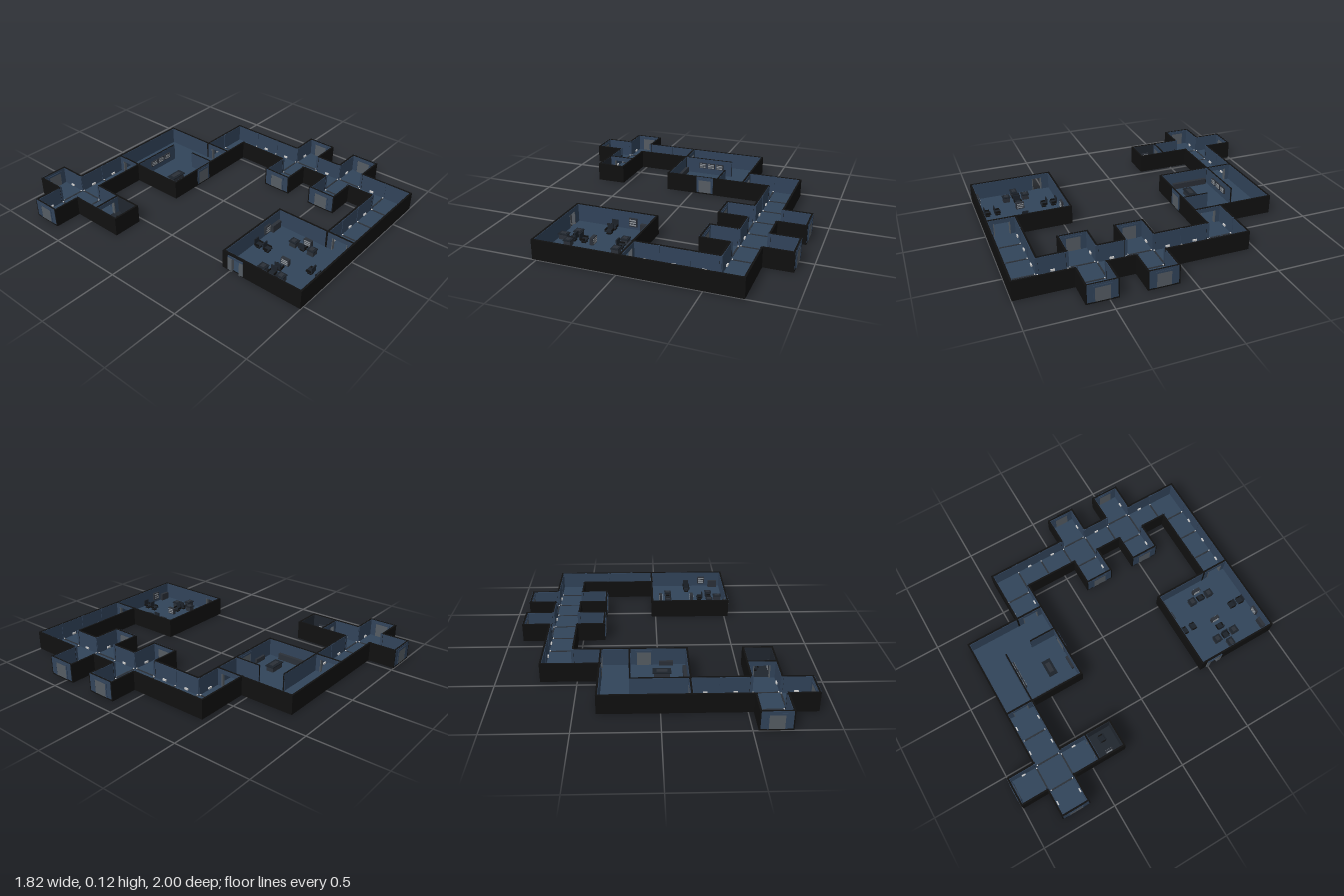
import * as THREE from 'three';

const mat = (color) => new THREE.MeshStandardMaterial({ color, roughness: 0.9 });
const M = {
  black: mat(0x101010), blue: mat(0x31435a), floor: mat(0x31455a), dark: mat(0x20262e),
  trim: mat(0x2b3038), door: mat(0x555c63), light: mat(0xc4c4c4), seat: mat(0x1c222a), screen: mat(0x8a9096),
};
const H = 0.125, T = 0.18, BASE = 0.01;

// Floor plan: c corridor, r briefing room, s control room, e lift
const PLAN = [
  '.c........',
  'ccccrrr...',
  '.c..rrr...',
  '.e..rrrcc.',
  '........c.',
  '........c.',
  '.......ccc',
  '........c.',
  '..sss..ccc',
  '..sss...c.',
  '..ssscccc.',
];
const SIDES = { N: [0, -1, Math.PI], S: [0, 1, 0], E: [1, 0, Math.PI / 2], W: [-1, 0, -Math.PI / 2] };
// Outer doors, keyed by column, row and side
const DOORS = ['1,0,N', '0,1,W', '7,6,W', '9,6,E', '7,8,W', '9,8,E'];
const ROOM_DOOR = '5,3,S', OPEN_DOOR = '2,8,W';

const cell = (i, j) => PLAN[j]?.[i] ?? '.';
const lineX = (i, j) => -0.9 + T * i + (j >= 8 && i <= 5 ? 0.02 : 0);
const lineZ = (j) => -0.99 + T * j;

// Box given by its size, its centre in x and z, and its underside y
function box(parent, name, m, w, h, d, x, y, z) {
  const b = new THREE.Mesh(new THREE.BoxGeometry(w, h, d), m);
  b.name = name;
  b.position.set(x, y + h / 2, z);
  parent.add(b);
  return b;
}

function group(parent, name, x = 0, z = 0, turn = 0) {
  const g = new THREE.Group();
  g.name = name;
  g.position.set(x, 0, z);
  g.rotation.y = turn;
  parent.add(g);
  return g;
}

// Wall with a black core and coloured lining; local +z points outward
function solidWall(g, L, lining) {
  box(g, 'wallCore', M.black, L + 0.016, H, 0.012, 0, 0, 0.002);
  box(g, 'wallLining', lining, L, H - BASE - 0.002, 0.003, 0, BASE, -0.0055);
}

// Wall with a doorway cut through it
function doorwayWall(g, L, open, lining, bothSides) {
  const jamb = (L - open) / 2, top = 0.095;
  const pieces = [
    [jamb, H, 0, -(open + jamb) / 2], [jamb, H, 0, (open + jamb) / 2], [open, H - top, top, 0],
  ];
  for (const [w, h, y, x] of pieces) {
    box(g, 'wallCore', M.black, w, h, 0.012, x, y, 0.002);
    const y0 = Math.max(y, BASE);
    for (const z of bothSides ? [-0.0055, 0.0095] : [-0.0055])
      box(g, 'wallLining', lining, w, H - y0 - 0.002, 0.003, x, y0, z);
  }
  for (const s of [-1, 1]) box(g, 'doorJamb', M.door, 0.006, top, 0.022, s * open / 2, 0, 0.002);
}

// Closed door and its frame, showing on both faces
function closedDoor(g) {
  for (const s of [-1, 1]) {
    const z = s > 0 ? 0.009 : -0.008;
    box(g, 'doorPost', M.blue, 0.01, 0.1, 0.006, -0.05, BASE, z);
    box(g, 'doorPost', M.blue, 0.01, 0.1, 0.006, 0.05, BASE, z);
    box(g, 'doorHead', M.blue, 0.11, 0.012, 0.006, 0, 0.1, z);
    box(g, 'doorLeaf', M.door, 0.09, 0.09, 0.004, 0, BASE, z);
  }
}

function buildSide(root, i, j, side) {
  const [dx, dz, turn] = SIDES[side], here = cell(i, j), next = cell(i + dx, j + dz);
  const x0 = lineX(i, j), x1 = lineX(i + 1, j), key = `${i},${j},${side}`;
  const L = dx ? T : x1 - x0;
  const x = dx ? (dx > 0 ? x1 : x0) : (x0 + x1) / 2;
  const z = lineZ(j) + T / 2 + dz * T / 2;
  const lining = here === 'e' ? M.dark : M.blue;
  if (next === '.') {
    const g = group(root, 'wall', x, z, turn);
    if (key === OPEN_DOOR) {
      doorwayWall(g, L, 0.06, M.blue, false);
      for (const s of [-1, 1]) box(g, 'slidDoorLeaf', M.door, 0.025, 0.09, 0.006, s * 0.043, BASE, 0.011);
      box(g, 'doorHead', M.blue, 0.11, 0.012, 0.006, 0, 0.1, 0.011);
      return;
    }
    solidWall(g, L, lining);
    if (DOORS.includes(key)) box(g, 'outerLining', M.blue, L, H - BASE, 0.002, 0, BASE, 0.008);
    if (key === ROOM_DOOR) box(g, 'outerLining', M.blue, 0.12, H - BASE, 0.002, 0, BASE, 0.008);
    if (DOORS.includes(key) || key === ROOM_DOOR) closedDoor(g);
    else if (here === 'c' && cell(i - dx, j - dz) === '.')
      box(g, 'floorLamp', M.light, 0.026, 0.012, 0.009, 0, BASE + 0.008, -0.011);
  } else if (side === 'E' || side === 'S') {
    const g = group(root, 'passage', x, z, turn);
    if (next !== here) doorwayWall(g, L, 0.1, lining, true);
    else if (here === 'c') {
      // Floor strip and slim posts where corridor sections join
      box(g, 'floorStrip', M.trim, L, 0.003, 0.01, 0, BASE, 0);
      for (const s of [-1, 1]) {
        box(g, 'corridorPost', M.blue, 0.008, H - BASE, 0.014, s * (L / 2 - 0.006), BASE, 0);
        box(g, 'postFoot', M.light, 0.008, 0.008, 0.008, s * (L / 2 - 0.013), BASE, 0);
      }
    }
  }
}

function chair(root, x, z, turn) {
  const g = group(root, 'chair', x, z, turn);
  box(g, 'chairFoot', M.black, 0.03, 0.005, 0.03, 0, BASE, 0);
  box(g, 'chairStem', M.trim, 0.01, 0.015, 0.01, 0, BASE, 0);
  box(g, 'chairSeat', M.seat, 0.045, 0.008, 0.042, 0, BASE + 0.015, 0);
  box(g, 'chairBack', M.seat, 0.042, 0.038, 0.007, 0, BASE + 0.02, -0.019);
  for (const s of [-1, 1]) box(g, 'chairArm', M.black, 0.006, 0.012, 0.03, s * 0.022, BASE + 0.02, 0);
}

function desk(root, x, z, w, d) {
  const g = group(root, 'console', x, z);
  box(g, 'consoleBody', M.trim, w * 0.85, 0.032, d * 0.85, 0, BASE, 0);
  box(g, 'consoleTop', M.seat, w, 0.006, d, 0, BASE + 0.032, 0);
  box(g, 'consoleKeys', M.trim, w * 0.6, 0.003, d * 0.5, 0, BASE + 0.038, 0);
}

function panel(root, x, z, w, d, y = BASE, h = 0.06) {
  const g = group(root, 'displayPanel', x, z);
  box(g, 'panelFrame', M.trim, w, h, d, 0, y, 0);
  const along = w > d;
  for (let k = 0; k < 3; k++)
    box(g, 'panelStripe', M.screen, along ? w * 0.8 : d_(d, w), h * 0.16, along ? d_(w, d) : d * 0.8, 0, y + h * (0.15 + 0.28 * k), 0);
}
const d_ = (_, thin) => thin + 0.004;

export function createModel() {
  const root = new THREE.Group();
  root.name = 'stationDeck';

  // Floors and walls, cell by cell
  PLAN.forEach((row, j) => [...row].forEach((type, i) => {
    if (type === '.') return;
    const x0 = lineX(i, j), x1 = lineX(i + 1, j), x = (x0 + x1) / 2, z = lineZ(j) + T / 2;
    box(root, 'floorSlab', M.black, x1 - x0, 0.008, T, x, 0, z);
    box(root, 'floor', type === 'e' ? M.dark : M.floor, x1 - x0, 0.002, T, x, 0.008, z);
    for (const side in SIDES) buildSide(root, i, j, side);
  }));

  // Briefing room partitions
  for (const [x, z, L, turn] of [[0, -0.63, 0.36, 0], [0.18, -0.36, T, Math.PI / 2]]) {
    const g = group(root, 'partition', x, z, turn);
    box(g, 'partitionCore', M.black, L, H, 0.01, 0, 0, 0);
    for (const s of [-1, 1]) box(g, 'partitionLining', M.blue, L, H - BASE - 0.002, 0.003, 0, BASE, s * 0.005);
  }

  // Briefing room: table, wall screens and benches
  desk(root, -0.02, -0.42, 0.115, 0.06);
  for (const x of [-0.04, 0.025, 0.09]) panel(root, x, -0.615, 0.055, 0.01, 0.055, 0.04);
  box(root, 'sideCounter', M.trim, 0.022, 0.04, 0.25, -0.162, BASE, -0.485);
  box(root, 'wallBench', M.trim, 0.09, 0.03, 0.015, -0.05, BASE, -0.285);

  // Lift: chair and control panel
  chair(root, -0.6, -0.36, Math.PI);
  panel(root, -0.69, -0.36, 0.012, 0.05);

  // Control room: consoles, chairs and display panels
  for (const x of [-0.41, -0.1]) for (const z of [0.652, 0.782]) desk(root, x, z, 0.05, 0.052);
  desk(root, -0.475, 0.717, 0.062, 0.045);
  for (const [x, z, t] of [[-0.41, 0.717, -1], [-0.34, 0.717, 1], [-0.1, 0.717, 1]]) chair(root, x, z, t * Math.PI / 2);
  for (const z of [0.495, 0.56]) chair(root, -0.25, z, 0);
  for (const z of [0.875, 0.94]) chair(root, -0.25, z, Math.PI);
  for (const x of [-0.28, -0.045]) panel(root, x, 0.717, 0.022, 0.055, BASE, 0.045);
  panel(root, -0.13, 0.468, 0.052, 0.014, 0.035, 0.055);
  panel(root, -0.37, 0.972, 0.052, 0.014, 0.035, 0.055);
  box(root, 'locker', M.trim, 0.08, 0.05, 0.022, -0.04, BASE, 0.468);
  box(root, 'locker', M.trim, 0.068, 0.05, 0.022, -0.46, BASE, 0.968);
  return root;
}
